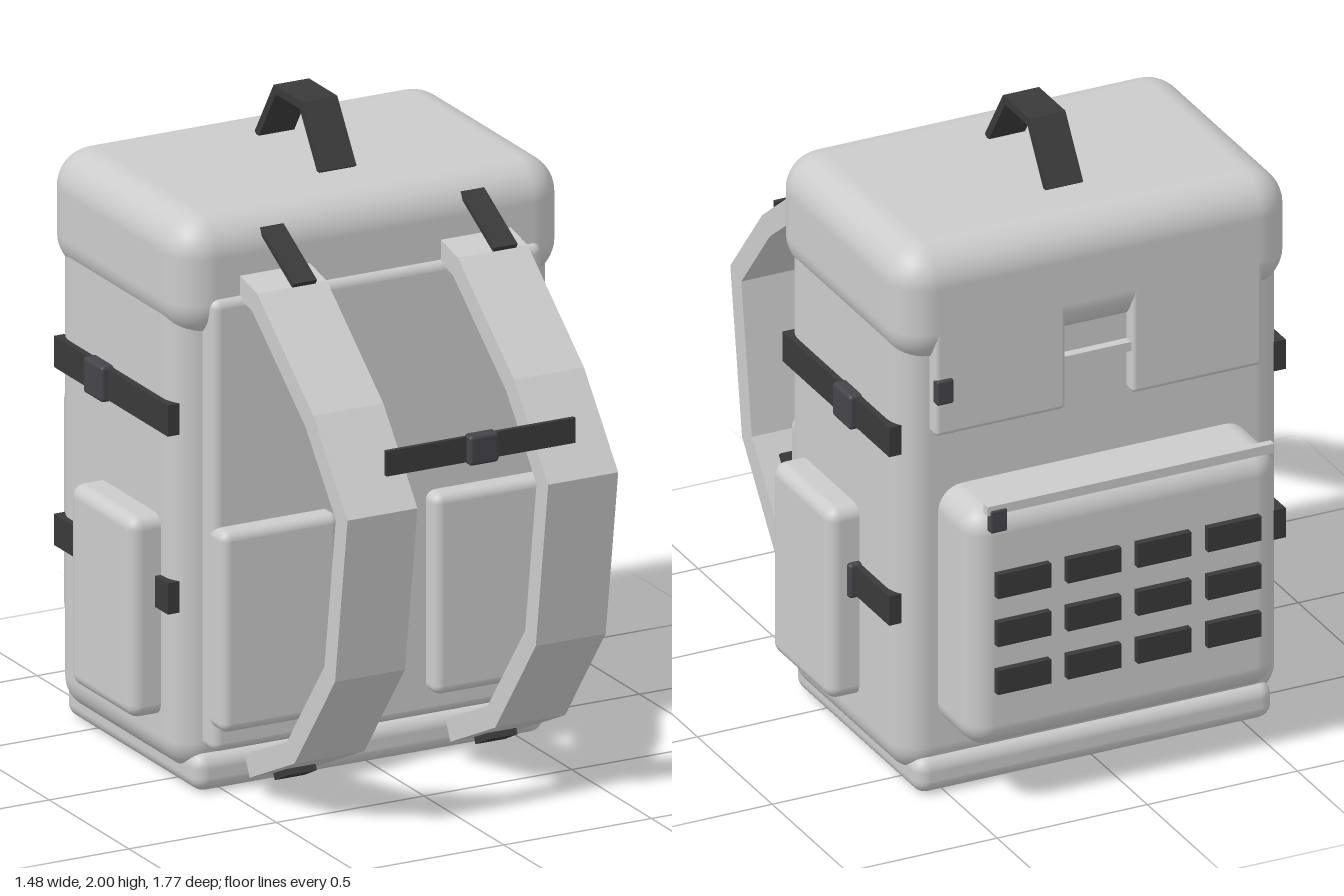
import * as THREE from 'three';
import { RoundedBoxGeometry } from 'three/addons/geometries/RoundedBoxGeometry.js';

export function createModel() {
  const group = new THREE.Group();
  const cloth = new THREE.MeshStandardMaterial({ color: 0xcccccc });
  const padding = new THREE.MeshStandardMaterial({ color: 0xcccccc, flatShading: true });
  const webbing = new THREE.MeshStandardMaterial({ color: 0x3a3a3a });
  const plastic = new THREE.MeshStandardMaterial({ color: 0x44444a });

  function add(name, geometry, material) {
    const mesh = new THREE.Mesh(geometry, material);
    mesh.name = name;
    group.add(mesh);
    return mesh;
  }

  // Box given by its [min, max] on each axis; radius 0 gives sharp edges
  function block(name, [x0, x1], [y0, y1], [z0, z1], radius = 0, material = cloth) {
    const w = x1 - x0, h = y1 - y0, d = z1 - z0;
    const geometry = radius
      ? new RoundedBoxGeometry(w, h, d, 5, radius)
      : new THREE.BoxGeometry(w, h, d);
    const mesh = add(name, geometry, material);
    mesh.position.set((x0 + x1) / 2, (y0 + y1) / 2, (z0 + z1) / 2);
    return mesh;
  }

  // Flat band that follows [z, y] points with mitred bends, extruded along x
  function band(name, points, thickness, width, x, material) {
    const pts = points.map(([z, y]) => new THREE.Vector2(z, y));
    const left = [], right = [];
    pts.forEach((p, i) => {
      const a = pts[Math.max(i - 1, 0)], b = pts[Math.min(i + 1, pts.length - 1)];
      const d1 = (i > 0 ? p.clone().sub(a) : b.clone().sub(p)).normalize();
      const d2 = (i < pts.length - 1 ? b.clone().sub(p) : d1.clone()).normalize();
      const n1 = new THREE.Vector2(-d1.y, d1.x), n2 = new THREE.Vector2(-d2.y, d2.x);
      const miter = n1.clone().add(n2).normalize();
      miter.multiplyScalar(thickness / 2 / miter.dot(n1));
      left.push(p.clone().add(miter));
      right.unshift(p.clone().sub(miter));
    });
    const geometry = new THREE.ExtrudeGeometry(new THREE.Shape([...left, ...right]), {
      depth: width, bevelEnabled: false,
    });
    geometry.translate(0, 0, -width / 2);
    geometry.rotateY(-Math.PI / 2); // shape x becomes z
    add(name, geometry, material).position.x = x;
  }

  // Main bag
  block('body', [-0.64, 0.64], [0.05, 1.65], [-0.64, 0.15], 0.1);
  block('base', [-0.595, 0.595], [0, 0.12], [-0.66, 0.175], 0.045);
  block('lid', [-0.655, 0.655], [1.425, 1.81], [-0.68, 0.195], 0.12);
  block('backPanel', [-0.56, 0.56], [0.135, 1.565], [0.09, 0.215], 0.03);

  // Large pocket with its zip, pull and grid of webbing patches
  block('largePocket', [-0.517, 0.517], [0.215, 1.01], [-0.86, -0.55], 0.08);
  block('zip', [-0.48, 0.475], [1.015, 1.045], [-0.885, -0.86]);
  block('zipPull', [0.41, 0.465], [0.955, 1.03], [-0.89, -0.86], 0.006, plastic);
  for (let row = 0; row < 3; row++) {
    for (let col = 0; col < 4; col++) {
      const x = -0.35 + col * 0.2333, y = 0.45 + row * 0.16;
      block('webbingPatch', [x - 0.089, x + 0.089], [y - 0.04, y + 0.04],
        [-0.883, -0.85], 0, webbing);
    }
  }

  // Rod between the lid flaps and the flap clip
  block('flapRod', [-0.12, 0.12], [1.34, 1.37], [-0.67, -0.63]);
  block('flapClip', [0.49, 0.545], [1.31, 1.39], [-0.692, -0.66], 0.006, plastic);

  // Carry handle
  band('handle', [[-0.045, 1.81], [-0.162, 1.987], [-0.325, 1.987], [-0.44, 1.81]],
    0.026, 0.12, 0, webbing);

  // Mirrored parts
  const strapPath = [[0.15, 1.6], [0.286, 1.57], [0.63, 1.3], [0.832, 1.05],
    [0.757, 0.54], [0.513, 0.218], [0.24, 0.09]];
  for (const s of [-1, 1]) {
    const span = (a, b) => (s > 0 ? [a, b] : [-b, -a]);

    block('lidFlap', span(0.11, 0.545), [1.2, 1.6], [-0.68, -0.6], 0.015);
    block('frontPocket', span(0.16, 0.56), [0.215, 0.85], [0.15, 0.275], 0.03);
    block('sidePocket', span(0.58, 0.74), [0.215, 0.85], [-0.36, 0.035], 0.04);

    // Compression straps on the sides
    for (const y of [1.175, 0.613]) {
      block('sideStrap', span(0.62, 0.66), [y - 0.049, y + 0.049], [-0.6, 0.115], 0, webbing);
      block('sideBuckle', span(0.635, 0.682), [y - 0.057, y + 0.057],
        [-0.38, -0.26], 0.012, plastic);
    }

    // Shoulder strap with its webbing tabs
    const x = s * 0.34;
    band('shoulderStrap', strapPath, 0.07, 0.237, x, padding);
    band('loadLifter', [[0.17, 1.752], [0.38, 1.638]], 0.016, 0.08, x, webbing);
    band('strapEndTab', [[0.36, 0.1], [0.28, 0.06]], 0.025, 0.1, x, webbing);
    band('strapInnerTab', [[0.68, 0.5], [0.652, 0.463]], 0.03, 0.1, x, webbing);
  }

  // Chest strap
  block('chestStrap', [-0.32, 0.32], [1.173, 1.252], [0.843, 0.858], 0, webbing);
  block('chestBuckle', [-0.05, 0.05], [1.165, 1.26], [0.838, 0.882], 0.012, plastic);

  return group;
}
